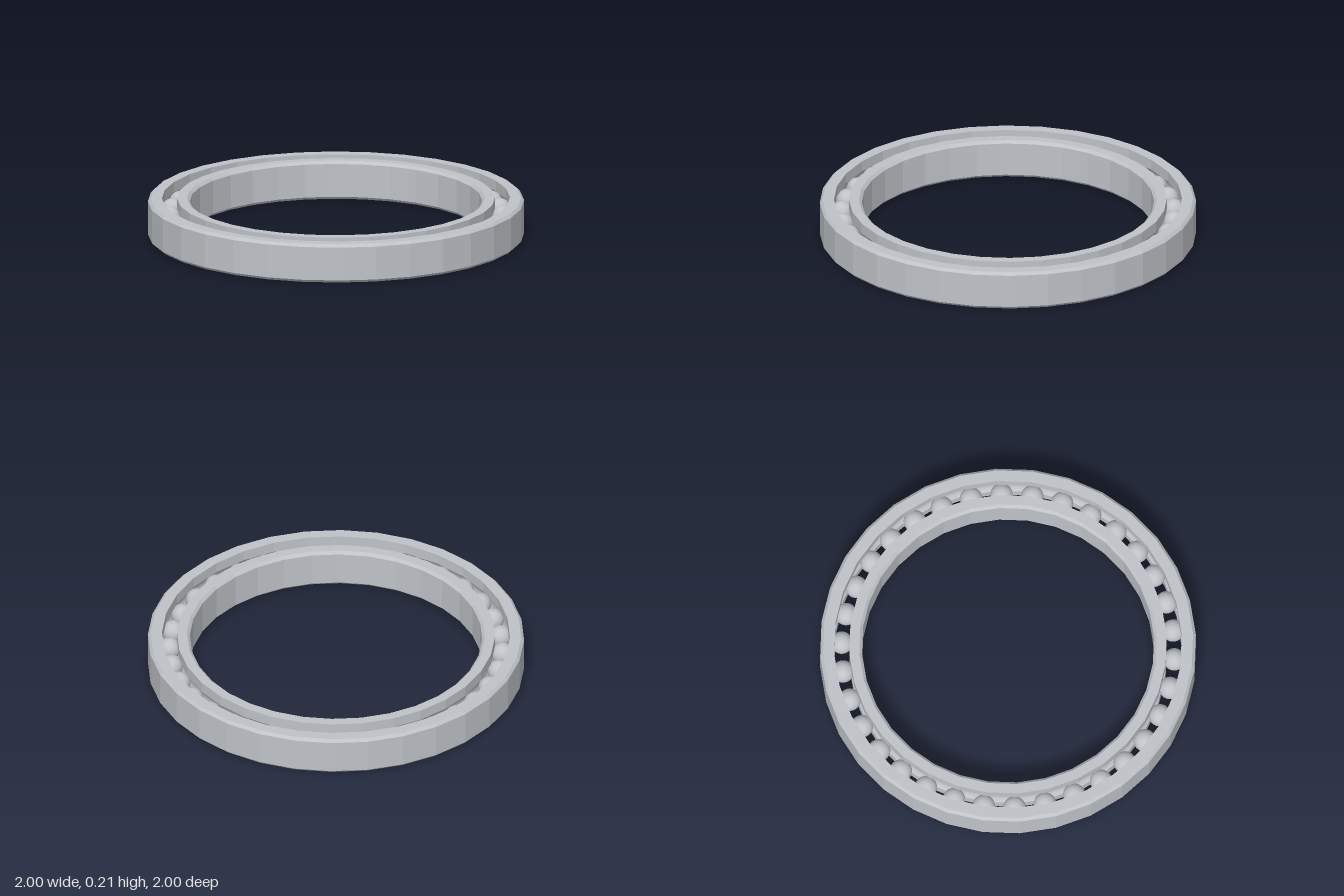
import * as THREE from 'three';

const HEIGHT = 0.21, MID = HEIGHT / 2;
const PITCH = 0.885;          // radius of the ball circle
const BALL = 0.06, BALLS = 34;
const GAP = 0.04;             // half the width between the rings
const CHAMFER = 0.015;
const SIDES = 32;

// Ring profile for the outer race; side = -1 mirrors it into the inner race.
function raceProfile(rim, side) {
  const wall = PITCH + side * GAP;
  const edge = rim - side * CHAMFER;
  const pts = [
    [wall, 0], [edge, 0], [rim, CHAMFER],
    [rim, HEIGHT - CHAMFER], [edge, HEIGHT], [wall, HEIGHT],
  ];
  // Groove that holds the balls
  const r = BALL + 0.002, open = Math.acos(GAP / r), steps = 8;
  for (let i = 0; i <= steps; i++) {
    const a = open * (1 - (2 * i) / steps);
    pts.push([PITCH + side * r * Math.cos(a), MID + r * Math.sin(a)]);
  }
  pts.push([wall, 0]);
  if (side < 0) pts.reverse();
  return pts.map(([x, y]) => new THREE.Vector2(x, y));
}

// Faceted ring turned around the y axis
function makeRace(name, rim, side, material) {
  const geometry = new THREE.LatheGeometry(raceProfile(rim, side), SIDES).toNonIndexed();
  geometry.computeVertexNormals();
  const mesh = new THREE.Mesh(geometry, material);
  mesh.name = name;
  return mesh;
}

export function createModel() {
  const model = new THREE.Group();
  model.name = 'ballBearing';

  const steel = new THREE.MeshStandardMaterial({ color: 0xbfc3c8 });
  steel.name = 'steel';

  model.add(makeRace('outerRace', 1, 1, steel));
  model.add(makeRace('innerRace', 0.777, -1, steel));

  // Balls evenly spaced between the races
  const balls = new THREE.Group();
  balls.name = 'balls';
  const sphere = new THREE.SphereGeometry(BALL, 24, 16);
  for (let i = 0; i < BALLS; i++) {
    const a = (i / BALLS) * Math.PI * 2;
    const ball = new THREE.Mesh(sphere, steel);
    ball.name = 'ball';
    ball.position.set(PITCH * Math.cos(a), MID, PITCH * Math.sin(a));
    balls.add(ball);
  }
  model.add(balls);
  return model;
}
